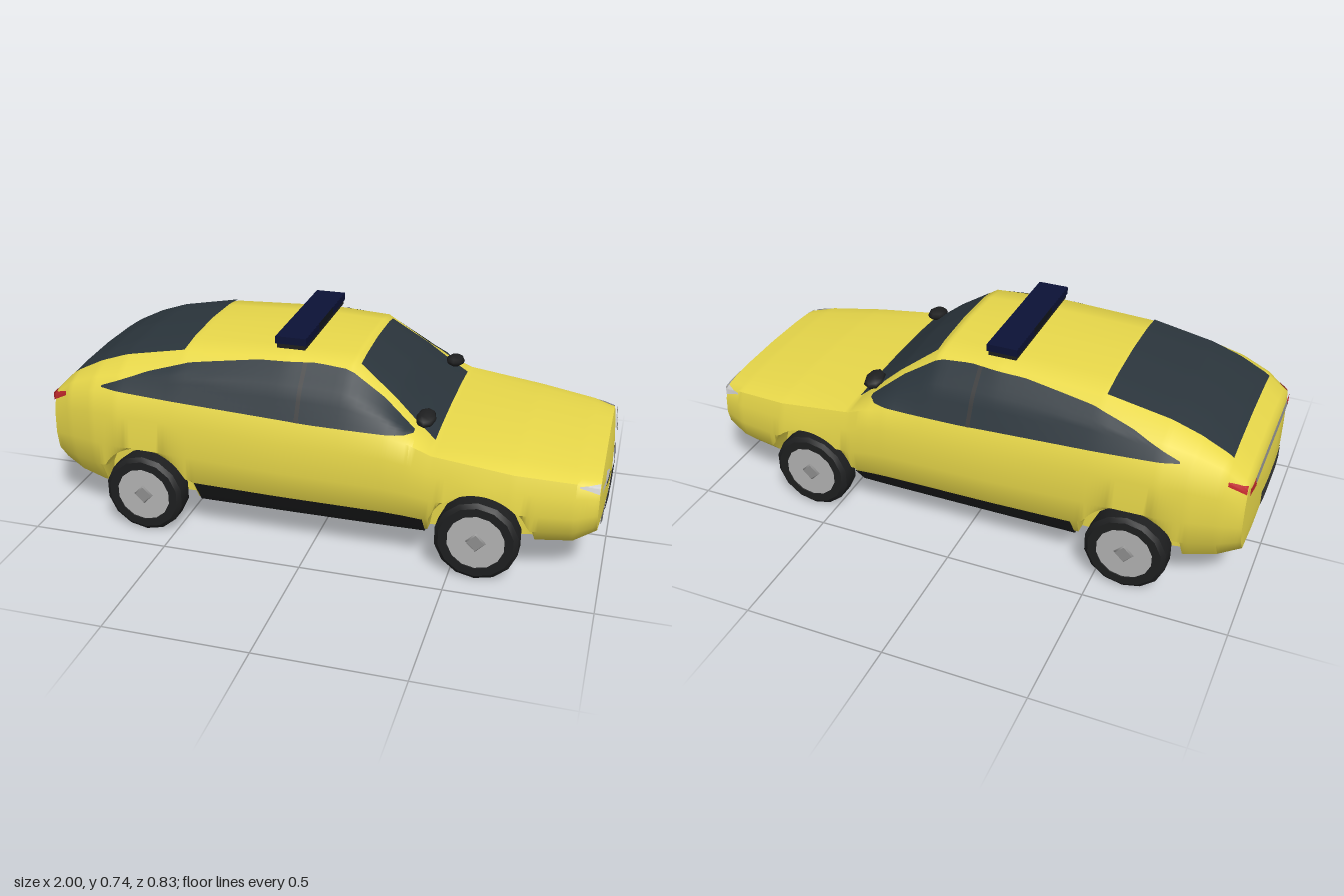
import * as THREE from 'three';
import { toCreasedNormals } from 'three/addons/utils/BufferGeometryUtils.js';

const mat = (color, side = THREE.FrontSide) => new THREE.MeshStandardMaterial({ color, side });
const lerp = THREE.MathUtils.lerp;

// Body stations: x, half width, floor y, belt y, top y, roof half width, roof edge drop
const STATIONS = [
  [-0.975, 0.335, 0.18, 0.44, 0.48, 0.29, 0.015],
  [-0.9, 0.365, 0.15, 0.49, 0.545, 0.28, 0.015],
  [-0.8, 0.395, 0.135, 0.515, 0.6, 0.275, 0.02],
  [-0.7, 0.41, 0.13, 0.52, 0.635, 0.272, 0.02],
  [-0.475, 0.412, 0.125, 0.515, 0.68, 0.27, 0.022],
  [-0.1, 0.415, 0.125, 0.49, 0.692, 0.265, 0.015],
  [0.125, 0.415, 0.125, 0.485, 0.688, 0.255, 0.02],
  [0.275, 0.415, 0.125, 0.48, 0.585, 0.28, 0.022],
  [0.35, 0.414, 0.125, 0.465, 0.52, 0.3, 0.02],
  [0.425, 0.412, 0.125, 0.435, 0.455, 0.31, 0.012],
  [0.7, 0.405, 0.13, 0.4, 0.435, 0.3, 0.015],
  [0.9, 0.37, 0.14, 0.38, 0.41, 0.27, 0.012],
  [0.975, 0.345, 0.18, 0.365, 0.395, 0.26, 0.01],
];
const WHEELS_X = [-0.61, 0.59];
const WHEEL_R = 0.145, ARCH_R = 0.175, END_X = 0.975, BULGE = 0.02;

function station(x) {
  let i = 0;
  while (i < STATIONS.length - 2 && x > STATIONS[i + 1][0]) i++;
  const a = STATIONS[i], b = STATIONS[i + 1];
  const t = THREE.MathUtils.clamp((x - a[0]) / (b[0] - a[0]), 0, 1);
  return a.map((v, k) => lerp(v, b[k], t));
}

// Half cross-section as [z, y], from floor centre round to roof centre
function profile(x) {
  const [, w, bot, belt, top, rw, drop] = station(x);
  const h = belt - bot;
  let arch = 0;
  for (const cx of WHEELS_X) {
    const d = Math.abs(x - cx);
    if (d < ARCH_R) arch = WHEEL_R + Math.sqrt(ARCH_R * ARCH_R - d * d);
  }
  const lift = (y) => Math.max(y, arch);
  const bw = w * 0.945, edge = top - drop;
  return [
    [0, bot], [0.72 * w, bot], [0.73 * w, lift(bot)], [0.82 * w, lift(bot + 0.003)],
    [0.965 * w, lift(bot + 0.25 * h)], [w, lift(bot + 0.5 * h)], [0.988 * w, bot + 0.8 * h],
    [bw, belt], [lerp(bw, rw, 0.45) + 0.008, lerp(belt, edge, 0.55)],
    [rw, edge], [rw * 0.65, top - drop * 0.35], [0, top],
  ];
}

// Read the upper body skin: given coordinate k (0 = z, 1 = y), return the other
function skin(x, value, k) {
  const p = profile(x).slice(5);
  for (let i = 0; i < p.length - 1; i++) {
    const t = (value - p[i][k]) / (p[i + 1][k] - p[i][k]);
    if (t >= 0 && t <= 1) return lerp(p[i][1 - k], p[i + 1][1 - k], t);
  }
  return p[p.length - 1][1 - k];
}

// Stretch a grid of quads over points fn(i, j)
function grid(fn, ni, nj) {
  const pos = [], idx = [];
  for (let i = 0; i <= ni; i++) for (let j = 0; j <= nj; j++) pos.push(...fn(i, j));
  for (let i = 0; i < ni; i++) for (let j = 0; j < nj; j++) {
    const a = i * (nj + 1) + j, b = a + 1, d = a + nj + 1, c = d + 1;
    idx.push(a, d, c, a, c, b);
  }
  const g = new THREE.BufferGeometry();
  g.setAttribute('position', new THREE.Float32BufferAttribute(pos, 3));
  g.setIndex(idx);
  g.computeVertexNormals();
  return g;
}

function bodyGeometry() {
  const rings = [];
  const addRing = (x, t, s) => {
    const half = profile(x), [, , bot, belt] = station(x), yc = (bot + belt) / 2;
    const full = [...half, ...half.slice(0, -1).reverse().map(([z, y]) => [-z, y])];
    rings.push(full.map(([z, y]) => [x + s * BULGE * (1 - t * t), lerp(yc, y, t), z * t]));
  };
  for (const t of [0, 0.4, 0.75]) addRing(-END_X, t, -1);
  for (let i = 0; i <= 156; i++) addRing(-END_X + i * 0.0125, 1, 0);
  for (const t of [0.75, 0.4, 0]) addRing(END_X, t, 1);
  return toCreasedNormals(grid((i, j) => rings[i][j], rings.length - 1, rings[0].length - 1), 0.85);
}

export function createModel() {
  const car = new THREE.Group();
  car.name = 'car';
  const paint = mat(0xe8d84a);
  const glass = mat(0x2b353c, THREE.DoubleSide), black = mat(0x1e1f20, THREE.DoubleSide);
  const dark = mat(0x38393a, THREE.DoubleSide), lamp = mat(0xcccccc, THREE.DoubleSide);
  const red = mat(0xc0282c, THREE.DoubleSide), chrome = mat(0x909090, THREE.DoubleSide);
  const add = (name, geo, m, parent = car) => {
    const mesh = new THREE.Mesh(geo, m);
    mesh.name = name;
    parent.add(mesh);
    return mesh;
  };
  const patch = (name, m, fn, nu = 16, nv = 6) =>
    add(name, grid((i, j) => fn(i / nu, j / nv), nu, nv), m);
  const curve = (pts, x) => {
    let i = 0;
    while (i < pts.length - 2 && x > pts[i + 1][0]) i++;
    const [a, b] = [pts[i], pts[i + 1]];
    return lerp(a[1], b[1], (x - a[0]) / (b[0] - a[0]));
  };

  add('body', bodyGeometry(), paint);

  // Panels lying on the roof skin, across the car
  const topPanel = (name, x0, x1, z0, z1) => patch(name, glass, (u, v) => {
    const x = lerp(x0, x1, u), z = lerp(z0, z1, u) * (2 * v - 1);
    return [x, skin(x, Math.abs(z), 0) + 0.006, z];
  }, 24, 16);
  topPanel('windshield', 0.145, 0.422, 0.225, 0.3);
  topPanel('rearWindow', -0.91, -0.48, 0.268, 0.268);

  // Panels lying on the flanks, bounded by lower and upper curves
  const sidePanel = (name, m, s, x0, x1, low, high, off = 0.005) => patch(name, m, (u, v) => {
    const x = lerp(x0, x1, u), y = lerp(low(x), high(x), v);
    return [x, y + off * 0.4, s * (skin(x, y, 1) + off)];
  }, 40, 8);
  const winLow = (x) => curve([[-0.76, 0.53], [0, 0.493], [0.37, 0.487]], x);
  const winHigh = (x) => curve([[-0.76, 0.535], [-0.6, 0.592], [-0.45, 0.632], [-0.2, 0.662],
    [0, 0.668], [0.12, 0.657], [0.25, 0.575], [0.355, 0.492]], x);

  // Panels lying on the bulging nose or tail
  const endPanel = (name, m, s, z0, z1, low, high) => patch(name, m, (u, v) => {
    const z = lerp(z0, z1, u), y = lerp(low(z), high(z), v);
    const [, w, bot, belt, top] = station(s * END_X), yc = (bot + belt) / 2;
    const t = Math.min(1, Math.max(Math.abs(z) / w, (y - yc) / (top - yc), (yc - y) / (yc - bot)));
    return [s * (END_X + BULGE * (1 - t * t) + 0.005), y, z];
  }, 24, 4);
  const flat = (y) => () => y;
  endPanel('grille', dark, 1, -0.24, 0.24, (z) => (Math.abs(z) < 0.12 ? 0.217 : 0.237),
    (z) => curve([[0, 0.29], [0.17, 0.288], [0.22, 0.272], [0.24, 0.245]], Math.abs(z)));
  endPanel('lowerBumperTrim', chrome, 1, -0.24, 0.24, flat(0.183), flat(0.2));
  endPanel('tailStrip', chrome, -1, -0.25, 0.25, flat(0.438), flat(0.458));
  endPanel('rearPlateRecess', dark, -1, -0.15, 0.15, flat(0.28), flat(0.335));

  for (const s of [1, -1]) {
    const side = s > 0 ? 'left' : 'right';
    sidePanel(side + 'SideWindow', glass, s, -0.76, 0.355, winLow, winHigh);
    sidePanel(side + 'DoorPillar', dark, s, -0.045, -0.03, winLow, winHigh, 0.008);
    sidePanel(side + 'HeadlightWrap', lamp, s, 0.91, 0.974,
      (x) => curve([[0.91, 0.368], [0.974, 0.345]], x), flat(0.373));
    sidePanel(side + 'TailLight', red, s, -0.974, -0.915,
      (x) => curve([[-0.974, 0.435], [-0.915, 0.468]], x), (x) => curve([[-0.974, 0.46], [-0.915, 0.482]], x));
    endPanel(side + 'Headlight', lamp, 1, s * 0.16, s * 0.325,
      (z) => 0.35, (z) => curve([[0.16, 0.357], [0.22, 0.378], [0.325, 0.37]], Math.abs(z)));
    endPanel(side + 'HeadlightTrim', dark, 1, s * 0.16, s * 0.27,
      flat(0.346), (z) => curve([[0.16, 0.35], [0.27, 0.362]], Math.abs(z))).position.x = 0.002;
    endPanel(side + 'TailLightInner', red, -1, s * 0.25, s * 0.315, flat(0.43), flat(0.458));

    // Dark sill wrapped under the doors
    patch(side + 'Sill', black, (u, v) => {
      const x = lerp(-0.415, 0.405, u), p = profile(x);
      const k = v < 0.5 ? 2 : 3, t = v * 2 - (k - 2);
      const z = lerp(p[k][0], p[k + 1][0], t), y = lerp(p[k][1], p[k + 1][1], t);
      return [x, y - 0.004, s * (z + 0.006)];
    }, 12, 6);

    const mirror = add(side + 'Mirror', new THREE.SphereGeometry(1, 8, 6), black);
    mirror.scale.set(0.035, 0.022, 0.052);
    mirror.position.set(0.38, 0.51, s * 0.262);
    mirror.rotation.x = s * 0.15;
  }

  // Wheels: tyre, rim and square hub
  const tyreProfile = [[0.095, -0.045], [0.13, -0.045], [0.145, -0.033], [0.145, 0.033], [0.13, 0.045],
    [0.1, 0.045], [0.095, 0.03]].map(([r, y]) => new THREE.Vector2(r, y));
  const tyre = toCreasedNormals(new THREE.LatheGeometry(tyreProfile, 14).rotateX(Math.PI / 2), 0.5);
  const rim = new THREE.CylinderGeometry(0.103, 0.1, 0.084, 14).rotateX(Math.PI / 2);
  const hub = new THREE.CylinderGeometry(0.03, 0.038, 0.008, 4).rotateX(Math.PI / 2);
  WHEELS_X.forEach((x, i) => {
    for (const s of [1, -1]) {
      const wheel = new THREE.Group();
      wheel.name = (i ? 'front' : 'rear') + (s > 0 ? 'Left' : 'Right') + 'Wheel';
      add('tyre', tyre, black, wheel);
      add('rim', rim, mat(0xb4b4b4), wheel);
      add('hub', hub, chrome, wheel).position.z = 0.044;
      wheel.position.set(x, WHEEL_R, s * 0.367);
      if (s < 0) wheel.rotation.y = Math.PI;
      car.add(wheel);
    }
  });

  // Roof light bar
  const bar = new THREE.Group();
  bar.name = 'lightBar';
  const navy = mat(0x0c1236);
  add('barBase', new THREE.BoxGeometry(0.1, 0.018, 0.48), black, bar).position.y = 0.706;
  add('barMiddle', new THREE.BoxGeometry(0.109, 0.025, 0.17), mat(0x11151c), bar).position.y = 0.7265;
  add('barCover', new THREE.BoxGeometry(0.108, 0.004, 0.49), navy, bar).position.y = 0.738;
  for (const s of [1, -1])
    add('barLamp', new THREE.BoxGeometry(0.11, 0.025, 0.16), navy, bar).position.set(0, 0.7265, s * 0.165);
  bar.position.x = -0.1;
  car.add(bar);

  return car;
}
